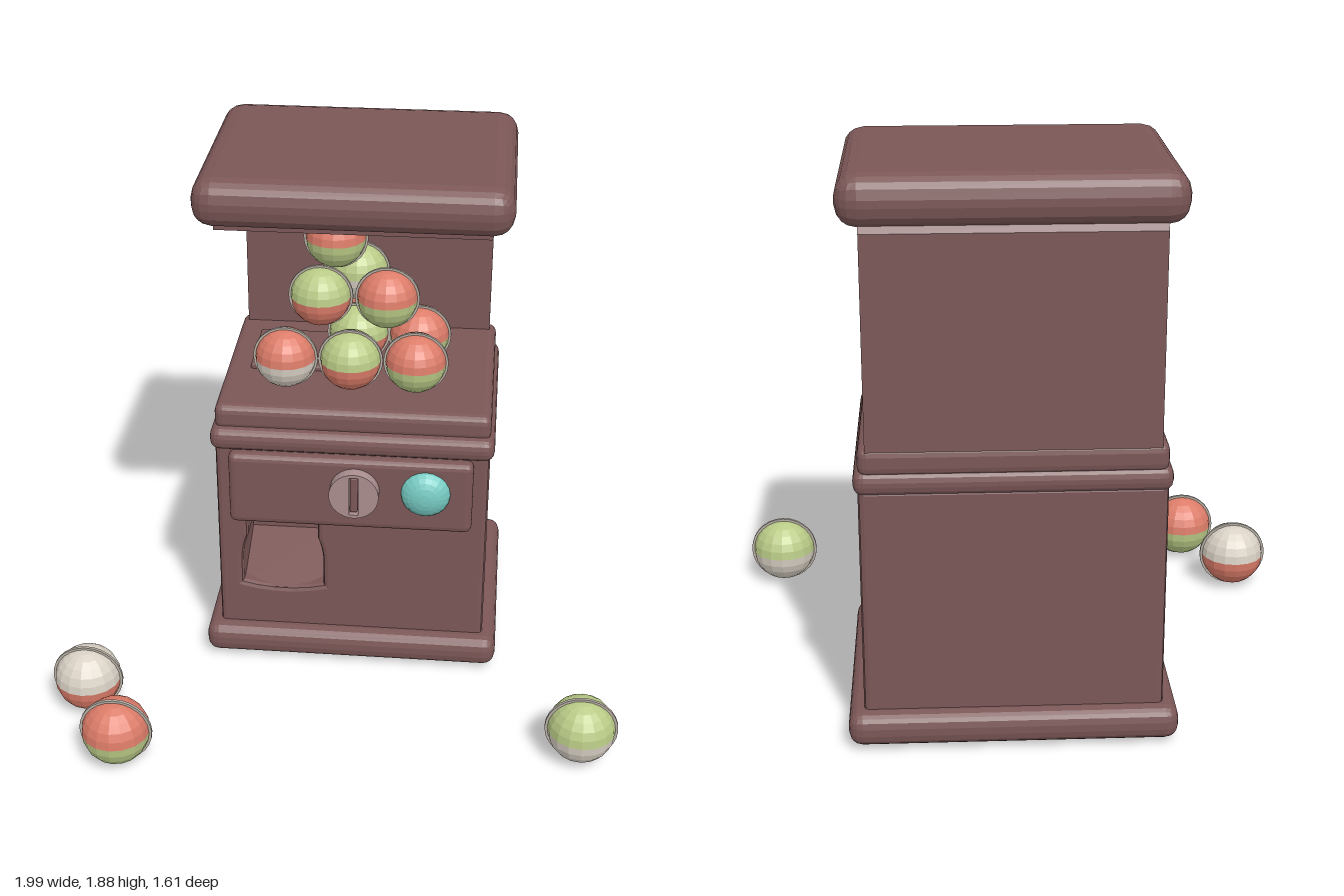
import * as THREE from 'three';
import { RoundedBoxGeometry } from 'three/addons/geometries/RoundedBoxGeometry.js';

const mat = (name, color) => {
  const m = new THREE.MeshStandardMaterial({ color, flatShading: true });
  m.name = name;
  return m;
};

export function createModel() {
  const group = new THREE.Group();
  group.name = 'capsuleMachine';
  const brown = mat('cabinet brown', 0x7c5757);
  const pink = mat('knob pink', 0xab8e90);
  const teal = mat('button teal', 0x77cbc3);
  const red = mat('capsule red', 0xdc7c69);
  const green = mat('capsule green', 0xb9ca86);
  const cream = mat('capsule cream', 0xd9d1c5);
  const grey = mat('rim grey', 0xb5ada3);

  const add = (name, geometry, material, parent = group) => {
    const mesh = new THREE.Mesh(geometry, material);
    mesh.name = name;
    parent.add(mesh);
    return mesh;
  };

  // Rounded block given by its limits
  const block = (name, [x0, x1], [y0, y1], [z0, z1], r, material = brown) => {
    const g = new RoundedBoxGeometry(x1 - x0, y1 - y0, z1 - z0, 2, r);
    g.translate((x0 + x1) / 2, (y0 + y1) / 2, (z0 + z1) / 2);
    return add(name, g, material);
  };

  // Cabinet tiers
  block('base', [-0.505, 0.565], [0.02, 0.135], [-0.805, 0.08], 0.045);
  block('beltRing', [-0.47, 0.53], [0.875, 0.96], [-0.76, 0.055], 0.035);
  block('ledge', [-0.455, 0.515], [0.94, 1.037], [-0.755, 0.02], 0.03);
  block('lid', [-0.5, 0.56], [1.72, 1.885], [-0.77, 0.09], 0.07);
  block('frontPanel', [-0.405, 0.46], [0.59, 0.87], [0, 0.065], 0.025);
  block('floorHatch', [-0.365, -0.07], [1.03, 1.056], [-0.575, -0.28], 0.008);

  // Lower body with the chute opening cut through it
  const b = 0.018;
  const front = new THREE.Shape();
  front.moveTo(-0.455 + b, 0.12);
  front.lineTo(0.515 - b, 0.12);
  front.lineTo(0.515 - b, 0.88);
  front.lineTo(-0.455 + b, 0.88);
  const chute = new THREE.Path();
  chute.moveTo(-0.365, 0.63);
  chute.lineTo(-0.365, 0.51);
  chute.quadraticCurveTo(-0.385, 0.46, -0.385, 0.4);
  chute.lineTo(-0.385, 0.295);
  chute.quadraticCurveTo(-0.22, 0.25, -0.055, 0.295);
  chute.lineTo(-0.055, 0.4);
  chute.quadraticCurveTo(-0.055, 0.46, -0.075, 0.51);
  chute.lineTo(-0.075, 0.63);
  front.holes.push(chute);
  const bodyGeo = new THREE.ExtrudeGeometry(front, {
    depth: 0.77 - 2 * b, bevelThickness: b, bevelSize: b, bevelSegments: 2, curveSegments: 5,
  });
  bodyGeo.translate(0, 0, -0.75 + b);
  add('body', bodyGeo, brown);

  // Chute back and sloping floor
  const plug = new THREE.BoxGeometry(0.4, 0.44, 0.5);
  plug.translate(-0.22, 0.44, -0.5);
  add('chuteBack', plug, brown);
  const ramp = new THREE.BoxGeometry(0.32, 0.02, 0.3);
  ramp.rotateX(0.35);
  ramp.translate(-0.22, 0.33, -0.13);
  add('chuteRamp', ramp, brown);

  // Back wall and ceiling in one bent profile
  const wall = new THREE.Shape();
  wall.moveTo(-0.75, 1.02);
  wall.lineTo(-0.685, 1.02);
  wall.lineTo(-0.685, 1.65);
  wall.quadraticCurveTo(-0.685, 1.7, -0.635, 1.7);
  wall.lineTo(0.02, 1.7);
  wall.lineTo(0.02, 1.74);
  wall.lineTo(-0.73, 1.74);
  wall.lineTo(-0.75, 1.71);
  const wallGeo = new THREE.ExtrudeGeometry(wall, { depth: 0.92, bevelEnabled: false, curveSegments: 5 });
  wallGeo.rotateY(-Math.PI / 2);
  wallGeo.translate(0.49, 0, 0);
  add('backWallAndCeiling', wallGeo, brown);

  // Coin knob with its slot
  const disc = new THREE.Shape();
  disc.absarc(0, 0, 0.088, 0, Math.PI * 2);
  const slot = new THREE.Path();
  slot.moveTo(-0.016, -0.075);
  slot.lineTo(-0.016, 0.075);
  slot.lineTo(0.016, 0.075);
  slot.lineTo(0.016, -0.075);
  disc.holes.push(slot);
  const knob = add('coinKnob',
    new THREE.ExtrudeGeometry(disc, { depth: 0.045, bevelEnabled: false, curveSegments: 16 }), pink);
  knob.position.set(0.045, 0.75, 0.063);
  block('coinSlotBar', [0.031, 0.059], [0.68, 0.82], [0.06, 0.1], 0.006);

  // Domed push button
  const dome = new THREE.SphereGeometry(0.088, 20, 6, 0, Math.PI * 2, 0, Math.PI / 2);
  dome.rotateX(Math.PI / 2);
  dome.scale(1, 1, 0.62);
  add('pushButton', dome, teal).position.set(0.295, 0.75, 0.06);

  // Two-tone capsule with a thin upright rim
  const upperHalf = new THREE.SphereGeometry(1, 16, 6, 0, Math.PI * 2, 0, Math.PI / 2);
  const lowerHalf = new THREE.SphereGeometry(1, 16, 6, 0, Math.PI * 2, Math.PI / 2, Math.PI / 2);
  const rim = new THREE.CylinderGeometry(1.07, 1.07, 0.09, 28);
  rim.rotateX(Math.PI / 2);
  const capsule = (x, y, z, r, top, bottom) => {
    const c = new THREE.Group();
    c.name = 'capsule';
    add('upperHalf', upperHalf, top, c);
    add('lowerHalf', lowerHalf, bottom, c);
    add('rim', rim, grey, c);
    c.scale.setScalar(r);
    c.position.set(x, y, z);
    group.add(c);
  };

  // Stacked pile on the ledge
  [
    [-0.22, 1.155, -0.155, red, cream],
    [0.01, 1.155, -0.155, green, red],
    [0.24, 1.155, -0.155, red, green],
    [0.02, 1.155, -0.38, green, red],
    [0.24, 1.155, -0.38, red, green],
    [0.06, 1.155, -0.575, red, cream],
    [-0.105, 1.35, -0.26, green, red],
    [0.13, 1.35, -0.26, red, green],
    [0.01, 1.35, -0.49, green, cream],
    [-0.06, 1.535, -0.35, red, green],
  ].forEach(([x, y, z, top, bottom]) => capsule(x, y, z, 0.107, top, bottom));

  // Loose capsules on the ground
  capsule(-0.875, 0.13, 0.405, 0.117, cream, red);
  capsule(-0.715, 0.13, 0.69, 0.117, red, green);
  capsule(0.868, 0.13, 0.53, 0.117, green, cream);

  return group;
}
